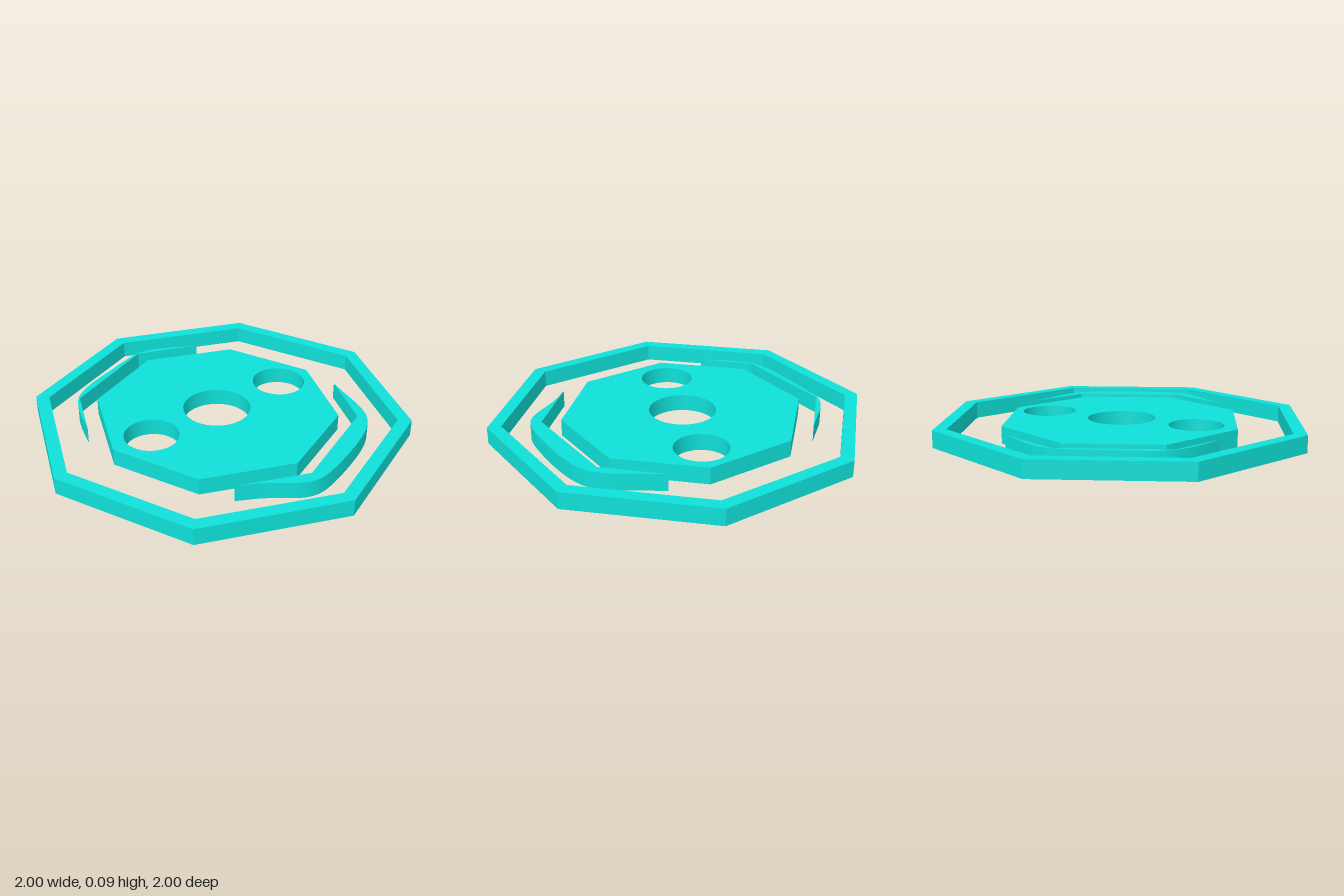
import * as THREE from 'three';
import { toCreasedNormals } from 'three/addons/utils/BufferGeometryUtils.js';

const HEIGHT = 0.09;
const material = new THREE.MeshStandardMaterial({ color: 0x0fe0d8 });

// Corners of a slightly turned octagon, in plan (x, z)
function octagon(cx, cz, radius, turn) {
  return Array.from({ length: 8 }, (_, i) => {
    const a = turn + (i * Math.PI) / 4;
    return new THREE.Vector2(cx + radius * Math.cos(a), cz + radius * Math.sin(a));
  });
}

function circle(cx, cz, radius) {
  return new THREE.Path().absarc(cx, cz, radius, 0, Math.PI * 2, true);
}

// Extrude a plan outline upward from the floor
function slab(name, shape) {
  let geometry = new THREE.ExtrudeGeometry(shape, { depth: HEIGHT, bevelEnabled: false, curveSegments: 32 });
  geometry.rotateX(Math.PI / 2).translate(0, HEIGHT, 0);
  geometry = toCreasedNormals(geometry, 0.5);
  const mesh = new THREE.Mesh(geometry, material);
  mesh.name = name;
  return mesh;
}

// Thin crescent: curved outer side, angular inner side between the same tips
function crescent(name, outer, inner) {
  const toV = ([x, z]) => new THREE.Vector2(x, z);
  const curve = new THREE.SplineCurve(outer.map(toV)).getPoints(40);
  return slab(name, new THREE.Shape([...curve, ...inner.map(toV)]));
}

export function createModel() {
  const model = new THREE.Group();
  model.name = 'octagonalPlate';

  // Outer ring
  const ring = new THREE.Shape(octagon(0, 0, 1, 0.007));
  ring.holes.push(new THREE.Path(octagon(0, 0, 0.928, 0.009).reverse()));
  model.add(slab('outerRing', ring));

  // Central plate with three round holes
  const plate = new THREE.Shape(octagon(-0.008, -0.023, 0.644, 0.012));
  for (const [x, r] of [[-0.427, 0.142], [-0.006, 0.178], [0.43, 0.142]]) {
    plate.holes.push(circle(x, -0.021, r));
  }
  model.add(slab('centerPlate', plate));

  // Crescents between plate and ring
  model.add(crescent('frontCrescent',
    [[-0.37, 0.572], [-0.25, 0.64], [-0.14, 0.726], [-0.07, 0.768], [0.015, 0.779], [0.15, 0.747],
      [0.33, 0.683], [0.47, 0.613], [0.55, 0.538], [0.595, 0.436], [0.627, 0.297], [0.652, 0.19]],
    [[0.513, 0.506], [-0.016, 0.722]]));
  model.add(crescent('backCrescent',
    [[0.327, -0.634], [0.24, -0.682], [0.14, -0.738], [0.06, -0.767], [0, -0.773], [-0.07, -0.757],
      [-0.26, -0.694], [-0.4, -0.643], [-0.49, -0.592], [-0.535, -0.552], [-0.58, -0.475],
      [-0.615, -0.385], [-0.648, -0.275]],
    [[-0.527, -0.55], [0, -0.765]]));

  return model;
}
